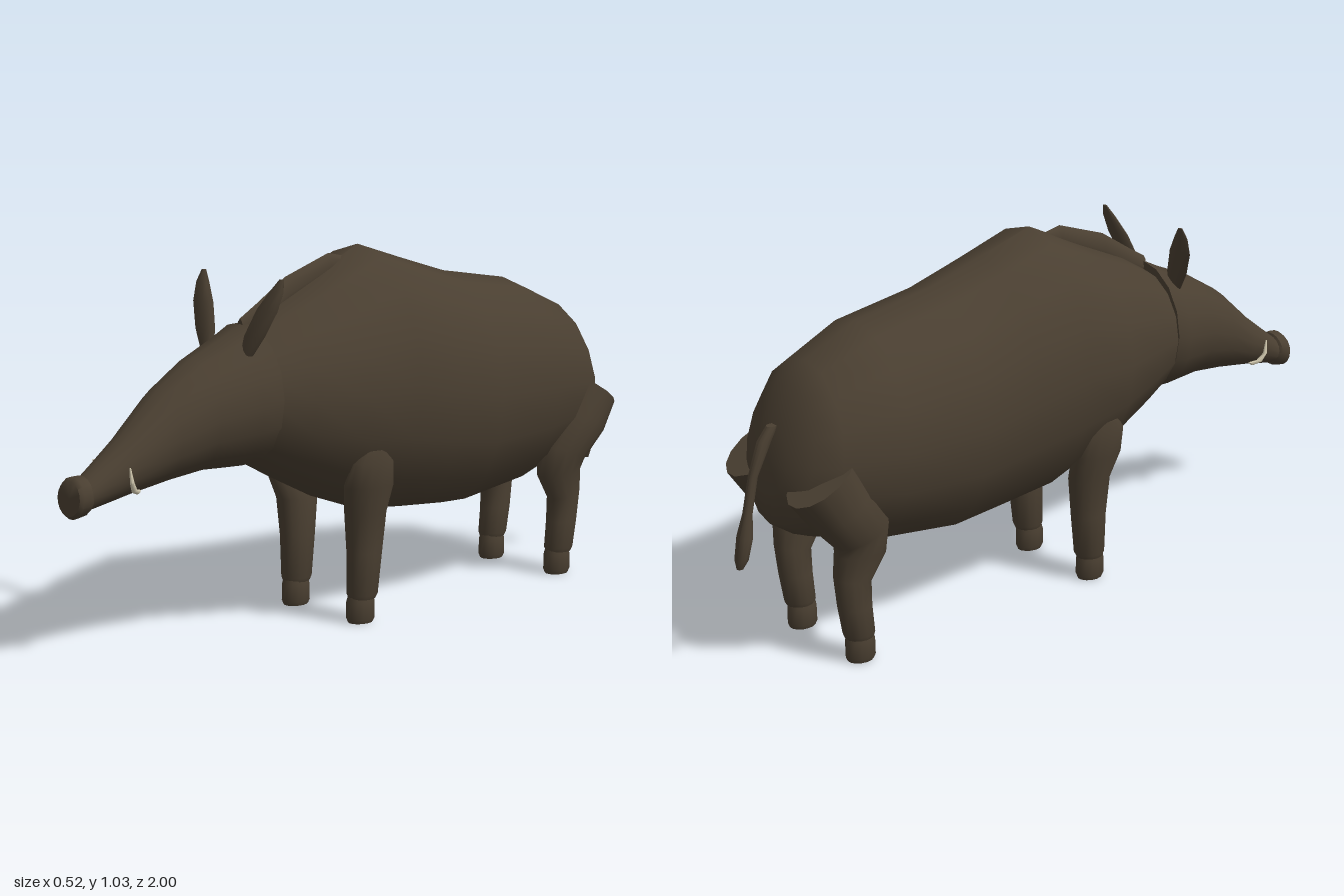
import * as THREE from 'three';
import { toCreasedNormals } from 'three/addons/utils/BufferGeometryUtils.js';

const hide = new THREE.MeshStandardMaterial({ color: 0x4a3f31 });
hide.name = 'brown hide';
const ivory = new THREE.MeshStandardMaterial({ color: 0xd8cfb4 });
ivory.name = 'tusk ivory';

const DOWN = Math.PI / 2, UP = -Math.PI / 2;

// Capped skin over elliptical rings: [x, y, z, half width in x, half depth, tilt].
// Tilt 0 stands a ring upright (run along +z), DOWN / UP lay it flat (run along -y / +y).
function loft(name, sections, sides = 14, tilt = 0, material = hide) {
  const pos = [], index = [];
  for (const [x, y, z, a, b, extra = 0] of sections) {
    for (let i = 0; i < sides; i++) {
      const t = (i / sides) * Math.PI * 2, v = Math.sin(t) * b;
      pos.push(x + Math.cos(t) * a, y + v * Math.cos(tilt + extra), z + v * Math.sin(tilt + extra));
    }
  }
  const last = sections.length - 1;
  for (let r = 0; r < last; r++) {
    for (let i = 0; i < sides; i++) {
      const j = (i + 1) % sides, p = r * sides, q = p + sides;
      index.push(p + i, p + j, q + j, p + i, q + j, q + i);
    }
  }
  const first = pos.length / 3;
  pos.push(...sections[0].slice(0, 3), ...sections[last].slice(0, 3));
  for (let i = 0; i < sides; i++) {
    const j = (i + 1) % sides, q = last * sides;
    index.push(first, j, i, first + 1, q + i, q + j);
  }
  const geo = new THREE.BufferGeometry();
  geo.setAttribute('position', new THREE.Float32BufferAttribute(pos, 3));
  geo.setIndex(index);
  const mesh = new THREE.Mesh(toCreasedNormals(geo, 0.85), material);
  mesh.name = name;
  return mesh;
}

// Upright rings given by their top and bottom heights
const span = (z, top, bottom, a, tilt = 0) => [0, (top + bottom) / 2, z, a, (top - bottom) / 2, tilt];

export function createModel() {
  const model = new THREE.Group();
  model.name = 'wildBoar';

  // Barrel body, rump to neck
  model.add(loft('body', [
    span(-0.885, 0.66, 0.48, 0.08, 0.2),
    span(-0.85, 0.77, 0.39, 0.15, 0.2),
    span(-0.79, 0.82, 0.345, 0.2, 0.12),
    span(-0.6, 0.89, 0.28, 0.235),
    span(-0.35, 0.93, 0.247, 0.245),
    span(-0.18, 0.98, 0.262, 0.25),
    span(-0.01, 1.032, 0.28, 0.26),
    span(0.17, 0.95, 0.345, 0.238),
    span(0.32, 0.885, 0.42, 0.195),
    span(0.43, 0.82, 0.48, 0.155),
  ], 16));

  // Long tapering head with snout disc
  model.add(loft('head', [
    span(0.41, 0.855, 0.47, 0.166),
    span(0.47, 0.825, 0.468, 0.155),
    span(0.59, 0.775, 0.475, 0.125),
    span(0.7, 0.71, 0.463, 0.098),
    span(0.82, 0.605, 0.445, 0.069),
    span(0.9, 0.545, 0.43, 0.053),
    span(0.96, 0.5, 0.42, 0.044),
  ], 16));
  model.add(loft('snout', [
    span(0.945, 0.5, 0.42, 0.042),
    span(0.957, 0.515, 0.41, 0.053, -0.08),
    span(0.985, 0.515, 0.405, 0.055, -0.08),
    span(0.995, 0.506, 0.414, 0.047, -0.08),
  ], 18));

  // Bristle ridge over the neck
  model.add(loft('crest', [
    span(0.03, 1.0, 0.96, 0.008),
    span(0.1, 1.015, 0.94, 0.016),
    span(0.26, 0.962, 0.87, 0.018),
    span(0.36, 0.9, 0.82, 0.017),
    span(0.42, 0.865, 0.8, 0.012),
  ], 8));

  // Hanging tail with tuft
  model.add(loft('tail', [
    [0, 0.665, -0.87, 0.013, 0.018],
    [0, 0.63, -0.895, 0.016, 0.022],
    [0, 0.54, -0.935, 0.013, 0.014],
    [0, 0.44, -0.957, 0.014, 0.014],
    [0, 0.38, -0.968, 0.024, 0.022],
    [0, 0.32, -0.981, 0.021, 0.018],
    [0, 0.295, -0.987, 0.009, 0.009],
  ], 10, DOWN));

  for (const s of [1, -1]) {
    const side = s > 0 ? 'left' : 'right';

    // Leaf-shaped ear
    model.add(loft(side + 'Ear', [
      [s * 0.082, 0.78, 0.468, 0.022, 0.012],
      [s * 0.1, 0.83, 0.457, 0.038, 0.015],
      [s * 0.13, 0.9, 0.438, 0.041, 0.013],
      [s * 0.15, 0.95, 0.422, 0.026, 0.009],
      [s * 0.158, 0.982, 0.411, 0.008, 0.004],
    ], 10, UP));

    // Upturned tusk
    model.add(loft(side + 'Tusk', [
      [s * 0.055, 0.46, 0.815, 0.008, 0.008, 0.8],
      [s * 0.069, 0.468, 0.838, 0.008, 0.008, 0.5],
      [s * 0.078, 0.492, 0.852, 0.006, 0.006],
      [s * 0.077, 0.532, 0.857, 0.002, 0.002],
    ], 8, UP, ivory));

    // Foreleg, shoulder to ankle
    model.add(loft(side + 'ForeLeg', [
      [s * 0.19, 0.495, 0.105, 0.025, 0.045],
      [s * 0.18, 0.46, 0.105, 0.04, 0.073],
      [s * 0.162, 0.39, 0.1, 0.053, 0.08],
      [s * 0.141, 0.31, 0.093, 0.051, 0.064],
      [s * 0.138, 0.2, 0.094, 0.044, 0.054],
      [s * 0.136, 0.08, 0.1, 0.041, 0.045],
      [s * 0.136, 0.068, 0.101, 0.036, 0.04],
    ], 14, DOWN));

    // Hind leg, haunch through knee and hock
    model.add(loft(side + 'HindLeg', [
      [s * 0.14, 0.55, -0.822, 0.082, 0.108, -0.55],
      [s * 0.15, 0.46, -0.775, 0.077, 0.092, -0.5],
      [s * 0.148, 0.37, -0.705, 0.06, 0.085, -0.35],
      [s * 0.14, 0.31, -0.705, 0.05, 0.079, 0.1],
      [s * 0.137, 0.24, -0.73, 0.044, 0.055, 0.2],
      [s * 0.136, 0.16, -0.724, 0.042, 0.049],
      [s * 0.136, 0.08, -0.713, 0.041, 0.045],
      [s * 0.136, 0.068, -0.712, 0.036, 0.04],
    ], 14, DOWN));

    // Hooves
    for (const [name, z] of [['ForeHoof', 0.105], ['HindHoof', -0.708]]) {
      model.add(loft(side + name, [
        [s * 0.134, 0.078, z, 0.031, 0.036],
        [s * 0.134, 0.058, z, 0.036, 0.042],
        [s * 0.134, 0.012, z, 0.036, 0.043],
        [s * 0.134, 0, z, 0.031, 0.038],
      ], 14, DOWN));
    }
  }
  return model;
}
